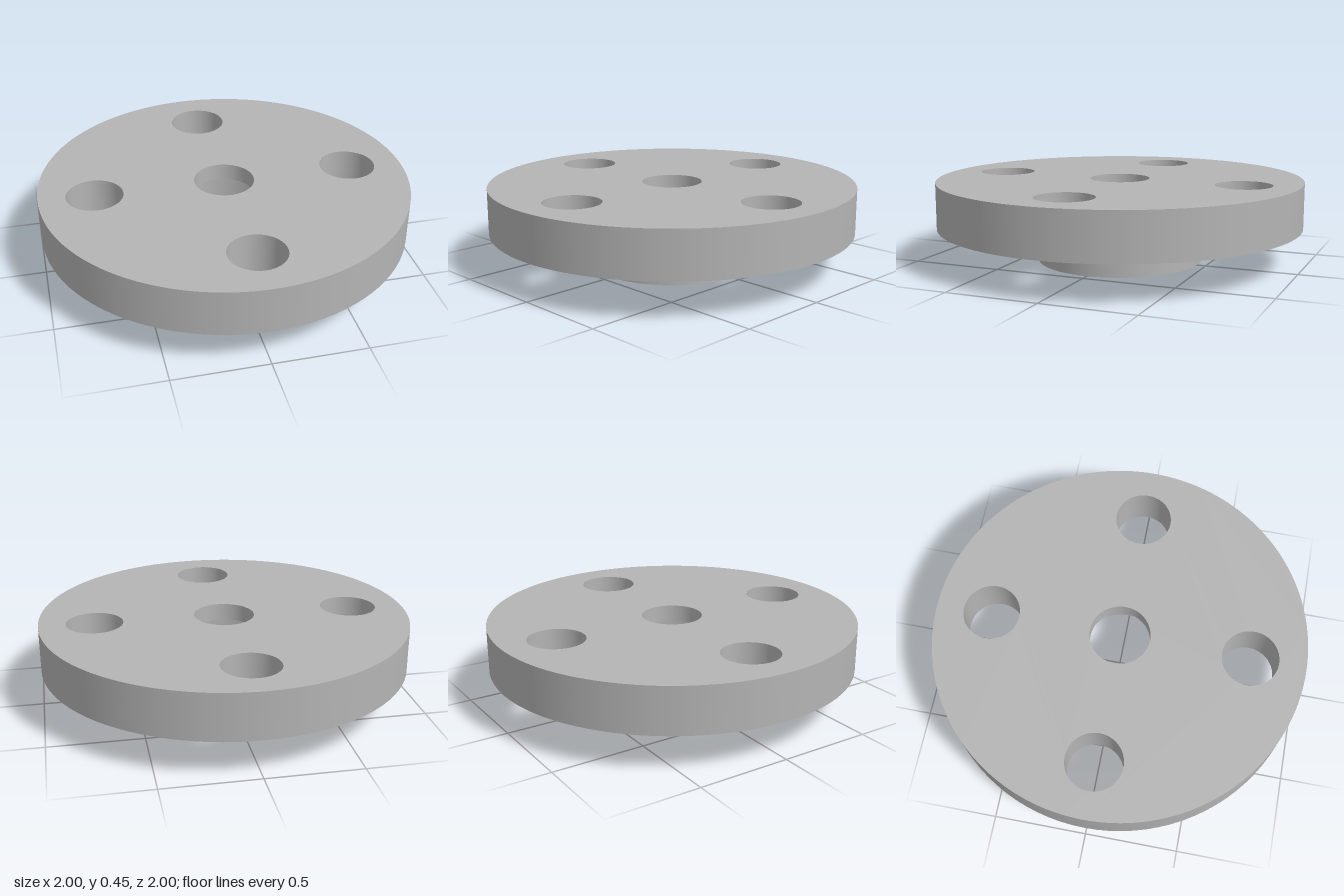
import * as THREE from 'three';
import { mergeGeometries } from 'three/addons/utils/BufferGeometryUtils.js';

const SEG = 96;
const TOP = 0.452, UNDER = 0.203, STEP = 0.36;   // heights of plate top, plate underside, bore step
const PLATE_R = 1, HUB_R = 0.45, BORE_R = 0.3, SHAFT_R = 0.163;
const BOLT_R = 0.152, BOLT_DIST = 0.702;

// Band of revolution between two profile points: rising faces outward, falling faces
// inward; widening faces down.
function band(r0, y0, r1, y1) {
  return new THREE.LatheGeometry([new THREE.Vector2(r0, y0), new THREE.Vector2(r1, y1)], SEG);
}

// Flat plate face with the four bolt holes and a centre hole
function plateFace(centreRadius, y, facing) {
  const shape = new THREE.Shape().absarc(0, 0, PLATE_R, 0, Math.PI * 2, false);
  const hole = (x, z, r) => shape.holes.push(new THREE.Path().absarc(x, z, r, 0, Math.PI * 2, true));
  hole(0, 0, centreRadius);
  boltCentres().forEach(([x, z]) => hole(x, z, BOLT_R));
  return new THREE.ShapeGeometry(shape, SEG).rotateX(-facing * Math.PI / 2).translate(0, y, 0);
}

function boltCentres() {
  return [[BOLT_DIST, 0], [0, BOLT_DIST], [-BOLT_DIST, 0], [0, -BOLT_DIST]];
}

export function createModel() {
  const model = new THREE.Group();
  model.name = 'flange';
  const steel = new THREE.MeshStandardMaterial({ color: 0xb4b4b4 });
  steel.name = 'grey steel';

  function add(name, parts) {
    const mesh = new THREE.Mesh(mergeGeometries(parts), steel);
    mesh.name = name;
    model.add(mesh);
    return mesh;
  }

  // Round plate: rim, top and underside
  add('plate', [
    band(PLATE_R, UNDER, PLATE_R, TOP),
    plateFace(SHAFT_R, TOP, 1),
    plateFace(HUB_R, UNDER, -1),
  ]);

  // Walls of the four bolt holes
  boltCentres().forEach(([x, z]) => {
    add('boltHole', [band(BOLT_R, TOP, BOLT_R, UNDER)]).position.set(x, 0, z);
  });

  // Hub below the plate, with its ring-shaped end
  add('hub', [
    band(HUB_R, 0, HUB_R, UNDER),
    band(BORE_R, 0, HUB_R, 0),
  ]);

  // Stepped bore: narrow at the top, wide below the step
  add('bore', [
    band(SHAFT_R, TOP, SHAFT_R, STEP),
    band(SHAFT_R, STEP, BORE_R, STEP),
    band(BORE_R, STEP, BORE_R, 0),
  ]);

  return model;
}
